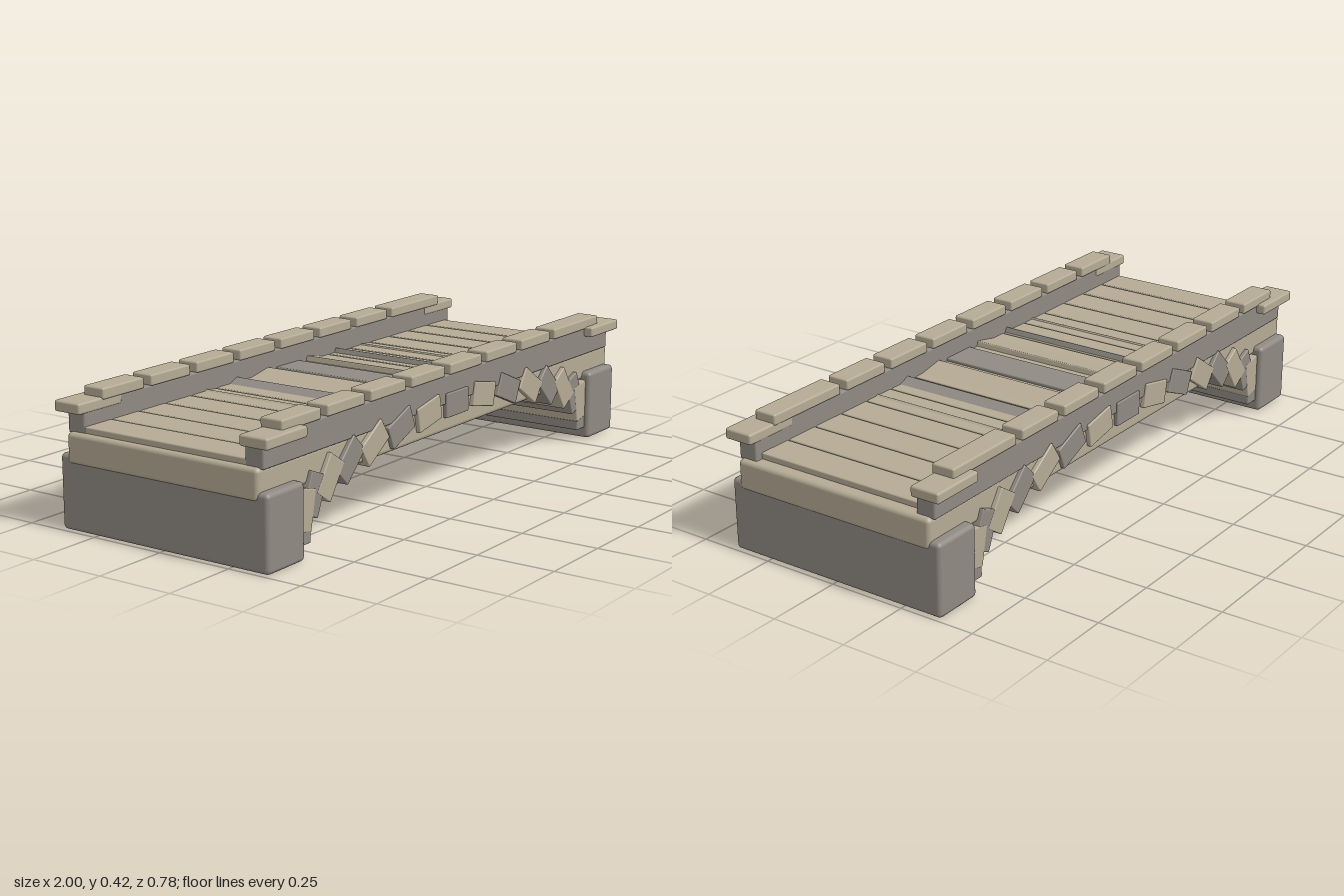
import * as THREE from 'three';
import { RoundedBoxGeometry } from 'three/addons/geometries/RoundedBoxGeometry.js';

export function createModel() {
  const bridge = new THREE.Group();
  bridge.name = 'stoneBridge';
  const tan = new THREE.MeshStandardMaterial({ name: 'sandstone', color: 0xb4aa94 });
  const grey = new THREE.MeshStandardMaterial({ name: 'greyStone', color: 0x8f8a82 });

  // Bevelled block given by its extents on each axis
  function block(name, mat, [x0, x1], [y0, y1], [z0, z1], r) {
    const mesh = new THREE.Mesh(new RoundedBoxGeometry(x1 - x0, y1 - y0, z1 - z0, 2, r), mat);
    mesh.position.set((x0 + x1) / 2, (y0 + y1) / 2, (z0 + z1) / 2);
    mesh.name = name;
    bridge.add(mesh);
    return mesh;
  }
  const mirrored = ([a, b], s) => (s > 0 ? [a, b] : [-b, -a]);

  // Abutments and main slab
  for (const s of [1, -1]) {
    block(s > 0 ? 'leftAbutment' : 'rightAbutment', grey,
      mirrored([0.82, 0.99], s), [0, 0.233], [-0.384, 0.384], 0.014);
  }
  block('deckSlab', tan, [-0.994, 0.994], [0.205, 0.301], [-0.352, 0.352], 0.014);

  // Walking surface of cross slabs
  const pitch = 0.1207;
  for (let i = 0; i < 16; i++) {
    const x = -0.977 + i * pitch;
    block('deckPaver', tan, [x + 0.003, x + pitch - 0.003], [0.285, 0.32], [-0.3, 0.3], 0.004);
  }

  // Arch stones run the full width, fanned along a flat ellipse
  for (let k = -8; k <= 8; k++) {
    const a = k * Math.PI / 16;
    const isGrey = k % 2 === 0;
    const half = isGrey ? 0.366 : 0.367;
    const stone = block('archStone', isGrey ? grey : tan,
      [-0.063, 0.063], [-0.039, 0.039], [-half, half], 0.004);
    stone.position.set(0.81 * Math.sin(a), 0.1 + 0.191 * Math.cos(a), 0);
    stone.rotation.z = -a;
  }

  // Parapets with coping stones and wider end caps
  for (const s of [1, -1]) {
    block('parapet', grey, [-0.976, 0.976], [0.295, 0.388], mirrored([0.295, 0.36], s), 0.006);
    for (let i = 0; i < 8; i++) {
      const x = -0.9 + i * 0.2143;
      block('copingStone', tan, [x, i === 7 ? 0.897 : x + 0.182], [0.386, 0.421],
        mirrored([0.289, 0.366], s), 0.006);
    }
    for (const e of [1, -1]) {
      block('parapetEndCap', tan, mirrored([0.814, 1], e), [0.359, 0.393],
        mirrored([0.293, 0.391], s), 0.007);
    }
  }
  return bridge;
}
